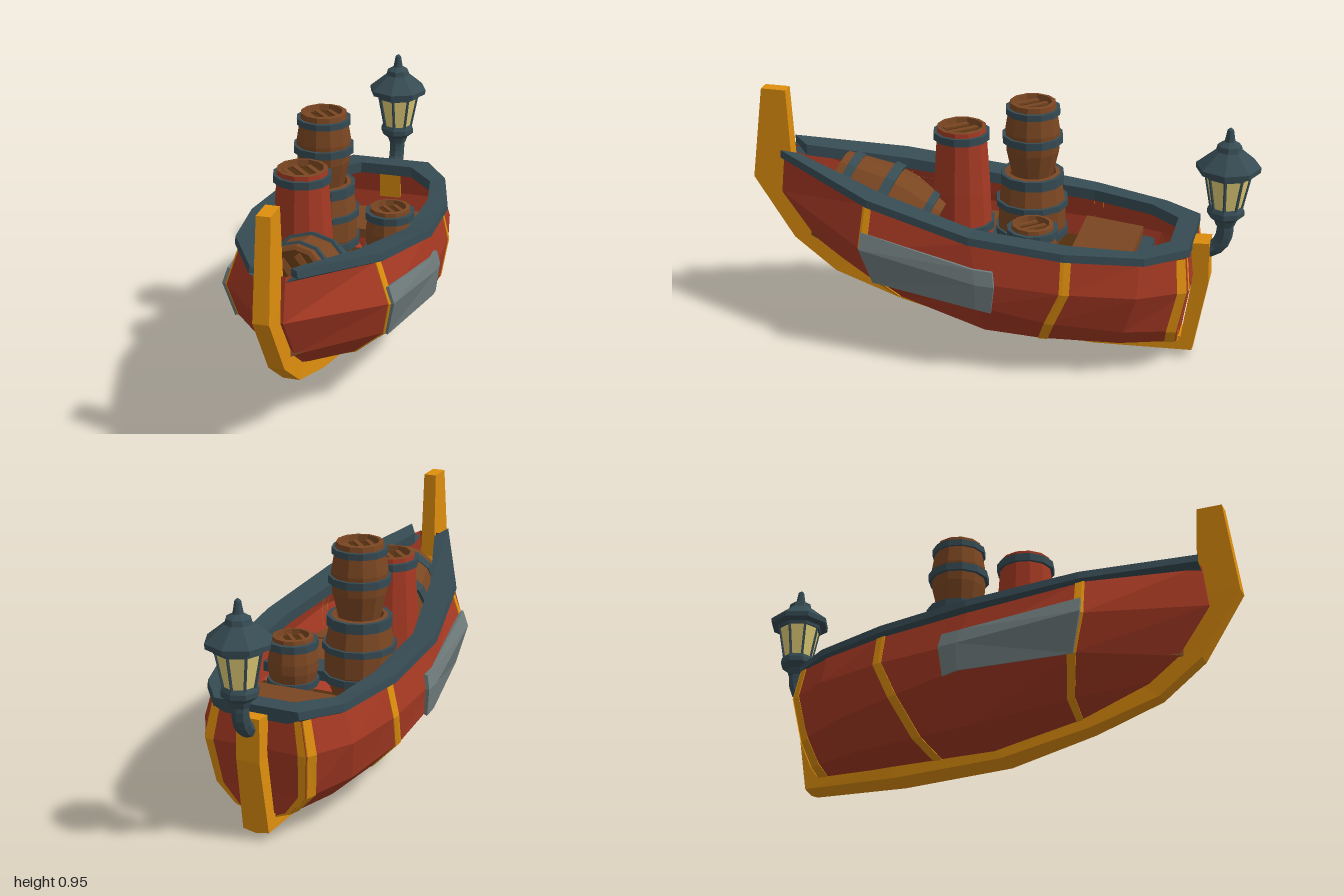
import * as THREE from 'three';

const mat = (name, color) => {
  const m = new THREE.MeshStandardMaterial({ color, side: THREE.DoubleSide });
  m.name = name;
  return m;
};
const V = (x, y, z) => new THREE.Vector3(x, y, z);

// Flat-shaded mesh
function part(name, geo, material) {
  const g = geo.index ? geo.toNonIndexed() : geo;
  g.computeVertexNormals();
  const m = new THREE.Mesh(g, material);
  m.name = name;
  return m;
}

// Surface through rows of points
function grid(rows) {
  const n = rows[0].length, idx = [];
  for (let i = 0; i < rows.length - 1; i++)
    for (let j = 0; j < n - 1; j++) {
      const a = i * n + j, b = a + n;
      idx.push(a, b, a + 1, a + 1, b, b + 1);
    }
  const g = new THREE.BufferGeometry().setFromPoints(rows.flat());
  g.setIndex(idx);
  return g;
}

// Loft of closed cross-sections, with both ends capped
function loft(sections) {
  const mid = s => s.reduce((a, p) => a.add(p), V(0, 0, 0)).divideScalar(s.length);
  const ring = s => [...s, s[0]];
  const cap = s => ring(s).map(() => mid(s));
  const last = sections[sections.length - 1];
  return grid([cap(sections[0]), ...sections.map(ring), cap(last)]);
}

// Hull stations from bow to stern; each runs from gunwale down to keel
const stations = [
  [V(.045, .70, .86), V(.04, .53, .88), V(.04, .345, .75), V(.035, .26, .64), V(.01, .23, .6)],
  [V(.26, .61, .46), V(.315, .45, .47), V(.285, .31, .43), V(.16, .19, .38), V(.03, .145, .37)],
  [V(.335, .53, .03), V(.367, .385, 0), V(.36, .285, 0), V(.225, .115, 0), V(.04, .065, .03)],
  [V(.325, .50, -.33), V(.355, .37, -.33), V(.34, .235, -.27), V(.22, .105, -.22), V(.04, .065, -.2)],
  [V(.265, .48, -.6), V(.302, .36, -.6), V(.275, .2, -.55), V(.18, .1, -.52), V(.04, .065, -.5)],
  [V(.175, .485, -.76), V(.2, .36, -.775), V(.18, .18, -.74), V(.11, .1, -.73), V(.03, .07, -.73)],
];

// Point on the hull: s along the length, v down the side, pushed out by off
function hullPoint(s, v, off = 0, side = 1) {
  const i = Math.min(Math.floor(s), 4), j = Math.min(Math.floor(v), 3);
  const a = stations[i][j].clone().lerp(stations[i][j + 1], v - j);
  const b = stations[i + 1][j].clone().lerp(stations[i + 1][j + 1], v - j);
  const p = a.lerp(b, s - i);
  p.add(V(p.x, (p.y - .4) * 1.1, 0).normalize().multiplyScalar(off));
  p.x *= side;
  return p;
}

// Thin plate lying on the hull, with its edges turned in
function plate(ss, vs, off, side) {
  const S = [ss[0], ...ss, ss[ss.length - 1]], W = [vs[0], ...vs, vs[vs.length - 1]];
  return grid(S.map((s, i) => W.map((v, j) => {
    const edge = i === 0 || j === 0 || i === S.length - 1 || j === W.length - 1;
    return hullPoint(s, v, edge ? -.002 : off, side);
  })));
}

// Horizontal planking trimmed to the inside of the hull
const halfWidths = [[.77, .03], [.44, .265], [.05, .335], [-.3, .325], [-.56, .27], [-.74, .175]];
function halfWidth(z) {
  const i = Math.max(0, halfWidths.findIndex((p, k) => k < 5 && z <= p[0] && z >= halfWidths[k + 1][0]));
  const [a, b] = [halfWidths[i], halfWidths[i + 1]];
  return a[1] + (b[1] - a[1]) * (z - a[0]) / (b[0] - a[0]);
}
function planking(z0, z1, y, depth) {
  const zs = [z0, ...halfWidths.map(p => p[0]).filter(z => z < z0 && z > z1), z1];
  const right = zs.map(z => new THREE.Vector2(halfWidth(z), z));
  const left = right.map(p => new THREE.Vector2(-p.x, p.y)).reverse();
  const g = new THREE.ExtrudeGeometry(new THREE.Shape([...right, ...left]), { depth, bevelEnabled: false });
  return g.rotateX(Math.PI / 2).translate(0, y, 0);
}

const lathe = (pts, n) => new THREE.LatheGeometry(pts.map(p => new THREE.Vector2(p[0], p[1])), n);

export function createModel() {
  const root = new THREE.Group();
  root.name = 'boat';
  const red = mat('red paint', 0xa53923), teal = mat('dark iron', 0x364b53), gold = mat('ochre trim', 0xde8e0e);
  const wood = mat('brown wood', 0x7a4622), dark = mat('dark wood', 0x522e0e);
  const grey = mat('grey patch', 0x707c7d), glass = mat('lamp glass', 0xe0cc76);
  const add = (name, geo, m, to = root) => {
    const p = part(name, geo, m);
    to.add(p);
    return p;
  };

  // Hull and transom
  const vs = [0, 1, 2, 3, 4];
  add('hull', grid(stations.map((_, s) => [
    ...vs.map(v => hullPoint(s, v)), ...vs.map(v => hullPoint(s, 4 - v, 0, -1))])), red);
  add('transom', grid(vs.map(v => [hullPoint(5, v), hullPoint(5, v, 0, -1)])), red);
  add('bowFace', grid(vs.map(v => [hullPoint(0, v), hullPoint(0, v, 0, -1)])), red);

  // Straps, transom trim and side patches
  for (const side of [1, -1]) {
    add('frontStrap', plate([.98, 1, 1.06], vs, .003, side), gold);
    add('rearStrap', plate([2.96, 3, 3.09], vs, .003, side), gold);
    add('sternStrap', plate([4.8, 4.99], vs, .004, side), gold);
    add('transomTrim', grid(vs.map(v => [1, .84].map(k => {
      const p = hullPoint(5, v, 0, side);
      return V(p.x * k, p.y, p.z - .004);
    }))), gold);
    add('sidePatch', plate([1, 2, 2.22], [.62, 1, 2.02], .015, side), grey);
  }

  // Gunwale: outer x, z, inner x, z, outer and inner top height
  const rim = [
    [.088, .86, .045, .8, .727, .705], [.283, .45, .18, .42, .64, .63], [.364, .03, .268, .03, .567, .56],
    [.35, -.33, .265, -.33, .532, .532], [.277, -.62, .22, -.57, .515, .515], [.17, -.768, .11, -.69, .52, .52],
  ];
  const rimSection = ([ox, oz, ix, iz, oy, iy], side) => [
    V(side * (ox - .045), oy - .05, oz), V(side * ox, oy - .03, oz), V(side * (ox - .004), oy, oz),
    V(side * ix, iy, iz), V(side * ix, iy - .045, iz)];
  add('gunwale', loft([...rim.map(r => rimSection(r, 1)), ...rim.slice().reverse().map(r => rimSection(r, -1))]), teal);

  // Stem, keel and sternpost: outer z, y, inner z, y, half width, lift of the outer corners
  const keel = [
    [.95, .955, .85, .955, .026, 0], [1, .58, .835, .6, .03, 0], [.84, .33, .765, .37, .03, 0], [.67, .2, .6, .25, .032, 0],
    [.4, .105, .37, .155, .042, .008], [.05, .02, .05, .075, .058, .018], [-.4, .002, -.4, .075, .06, .02],
    [-.785, .025, -.74, .09, .052, .01], [-.835, .33, -.772, .33, .046, 0], [-.83, .495, -.758, .49, .046, 0],
  ];
  add('keel', loft(keel.map(([oz, oy, iz, iy, w, lift]) =>
    [V(0, oy, oz), V(-w, oy + lift, oz), V(-w, iy, iz), V(w, iy, iz), V(w, oy + lift, oz)])), gold);

  // Decks and cross beams
  add('frontDeck', planking(.77, .28, .375, .03), wood);
  add('middleDeck', planking(.28, .04, .37, .03), wood);
  add('crossBeam', planking(.05, -.07, .38, .04), teal);
  add('floor', planking(-.07, -.3, .3, .02), dark);
  add('bench', planking(-.29, -.53, .39, .04), wood);
  add('rearBeam', planking(-.52, -.58, .35, .04), teal);
  add('rearFloor', planking(-.58, -.74, .28, .03), dark);

  // Barrel with iron bands [radius, centre y, height] and a worn lid
  function barrel(name, m, profile, bands, pos) {
    const b = new THREE.Group();
    b.name = name;
    const [r, h] = profile[profile.length - 1];
    add('staves', lathe([[0, 0], ...profile], 12), m, b);
    add('rim', lathe([[r, h], [r - .016, h + .002], [r - .02, h - .025]], 12), wood, b);
    for (const [br, y, t] of bands)
      add('band', lathe([[br - .022, y - t / 2], [br, y - t / 2], [br, y + t / 2], [br - .022, y + t / 2]], 12), teal, b);
    add('lid', new THREE.CircleGeometry(r - .016, 12).rotateX(-Math.PI / 2).translate(0, h - .022, 0), dark, b);
    for (const [k, len] of [[-.5, 1.1], [0, 1.4], [.5, 1]])
      add('lidPlank', new THREE.BoxGeometry(r * .2, .008, r * len).translate(r * k, h - .018, 0).rotateY(.75), wood, b);
    b.position.set(...pos);
    root.add(b);
    return b;
  }
  barrel('lowerBarrel', wood, [[.105, 0], [.136, .1], [.134, .2], [.11, .32]],
    [[.145, .08, .03], [.144, .2, .025], [.126, .3, .04]], [-.105, .34, -.11]);
  barrel('upperBarrel', wood, [[.082, 0], [.105, .1], [.109, .18], [.09, .295]],
    [[.12, .15, .03], [.107, .262, .025]], [-.105, .655, -.11]);
  barrel('redBarrel', red, [[.123, 0], [.116, .2], [.098, .458]],
    [[.132, .05, .03], [.113, .425, .03]], [-.105, .365, .175]);
  barrel('smallBarrel', wood, [[.075, 0], [.098, .12], [.098, .16], [.08, .255]],
    [[.102, .07, .025], [.1, .225, .03]], [.15, .3, -.17]);
  const fallen = barrel('fallenBarrel', wood, [[.11, 0], [.148, .15], [.152, .25], [.115, .44]],
    [[.132, .05, .03], [.164, .23, .04], [.132, .39, .035]], [.005, .43, .255]);
  fallen.rotation.x = Math.PI / 2 - .4;

  // Stern lantern
  const lamp = new THREE.Group();
  lamp.name = 'lantern';
  add('roof', lathe([[0, .955], [.012, .945], [.02, .9], [.045, .885], [.05, .865], [.122, .805], [.12, .785], [.085, .775], [0, .775]], 8), teal, lamp);
  add('glass', lathe([[.056, .63], [.086, .78]], 8), glass, lamp);
  add('base', lathe([[0, .64], [.062, .64], [.07, .625], [.07, .605], [.045, .585], [.036, .56], [0, .56]], 8), teal, lamp);
  add('topFrame', lathe([[.084, .765], [.091, .765], [.093, .78], [.084, .78]], 8), teal, lamp);
  for (let i = 0; i < 8; i++) {
    const a = i * Math.PI / 4, at = (r, y) => V(Math.sin(a) * r, y, Math.cos(a) * r);
    add('glassBar', new THREE.TubeGeometry(new THREE.LineCurve3(at(.057, .63), at(.086, .78)), 1, .006, 4), teal, lamp);
  }
  const arm = new THREE.CatmullRomCurve3([V(0, .6, 0), V(0, .52, 0), V(0, .475, .02), V(0, .45, .06), V(0, .445, .11)]);
  add('arm', new THREE.TubeGeometry(arm, 8, .032, 8), teal, lamp);
  lamp.position.z = -.88;
  root.add(lamp);
  return root;
}
